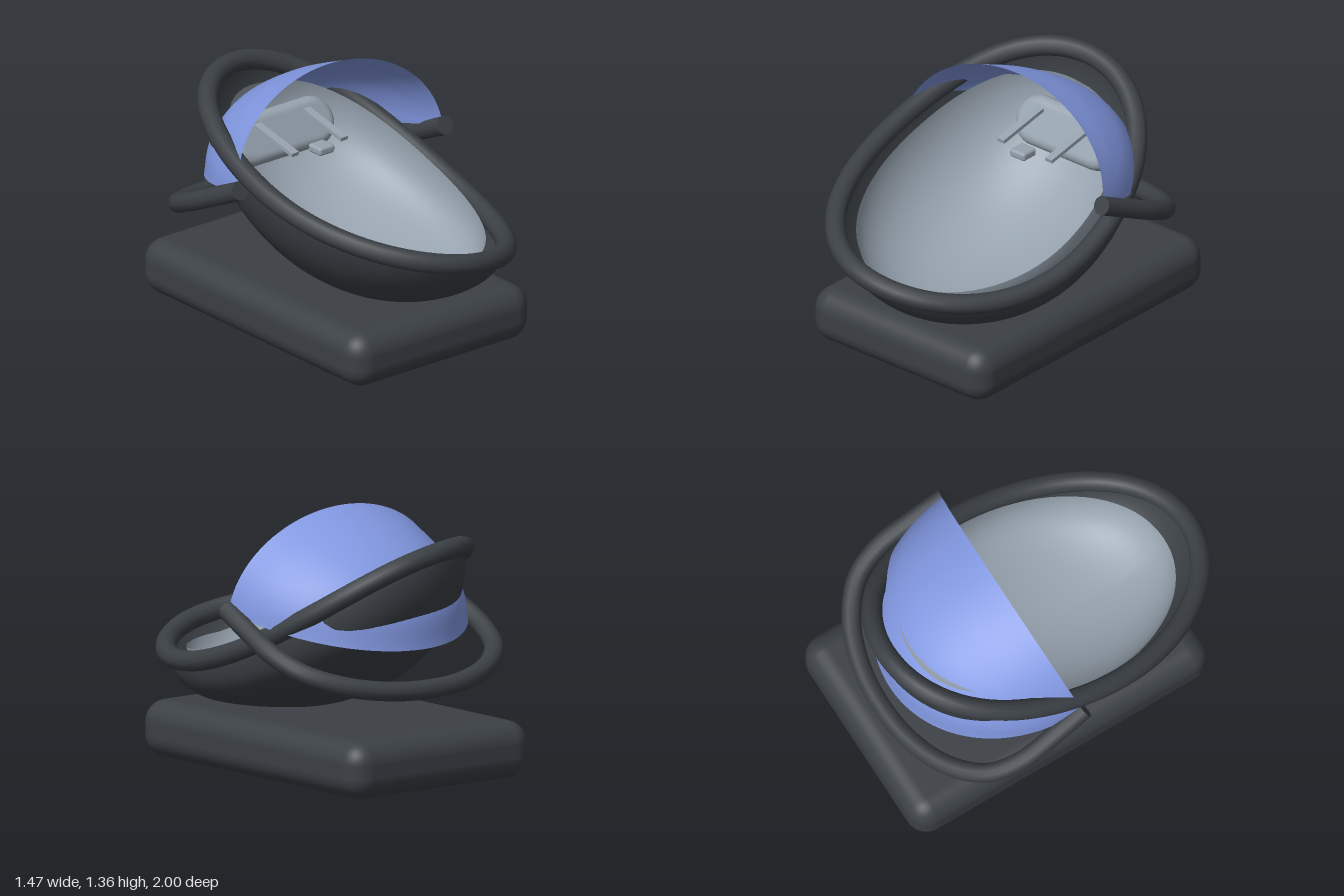
import * as THREE from 'three';
import { RoundedBoxGeometry } from 'three/addons/geometries/RoundedBoxGeometry.js';
import { ParametricGeometry } from 'three/addons/geometries/ParametricGeometry.js';

const V = (x, y, z) => new THREE.Vector3(x, y, z);

// Height of the rim: sweeps up toward the back and rolls to one side
const rimY = (x, z) => 0.78 - 0.328 * z + 0.18 * z * z - 0.19 * x - 0.08 * x * Math.abs(x);

// Point on the egg-shaped rim, fuller at the back; kx and kz scale it about its centre
function rimPoint(angle, kx = 1, kz = 1) {
  const s = Math.sin(angle);
  const x = 0.63 * kx * Math.cos(angle) * (1 + 0.12 * Math.min(s, 0) ** 2);
  const z = 0.065 + 0.885 * kz * s;
  return V(x, rimY(x, z), z);
}

// Bowl hanging from the rim, deepening at right angles to the tilted seat
const bowl = (kx, kz, depth, drop) => (u, v, target) => {
  const r = rimPoint(u * Math.PI * 2, kx, kz);
  const c = Math.cos(v * 0.9999 * Math.PI / 2), s = Math.sin(v * 0.9999 * Math.PI / 2);
  const slope = -0.3 * (r.z - 0.065);
  const y = 0.88 + c * slope + c ** 3 * (r.y - 0.88 - slope - drop(r)) - 0.957 * depth * s;
  target.set(r.x * c, y, 0.065 + (r.z - 0.065) * c - 0.29 * depth * s);
};

export function createModel() {
  const group = new THREE.Group();
  const mat = (name, color) => new THREE.MeshStandardMaterial({ name, color, side: THREE.DoubleSide });
  const dark = mat('charcoal', 0x3b4045);
  const grey = mat('grey lining', 0x97a3af);
  const blue = mat('blue fabric', 0x8197e0);
  const add = (name, geometry, material, x = 0, y = 0, z = 0) => {
    const mesh = new THREE.Mesh(geometry, material);
    mesh.name = name;
    mesh.position.set(x, y, z);
    group.add(mesh);
    return mesh;
  };

  // Base block
  add('base', new RoundedBoxGeometry(1.17, 0.295, 1.76, 6, 0.115), dark, 0, 0.1475, -0.12);

  // Outer shell and inner lining; the lining stands higher on the low side
  const liningDrop = ({ x, z }) => 0.03 + 0.05 * z - 0.15 * Math.max(x, 0);
  add('shell', new ParametricGeometry(bowl(1, 1, 0.58, () => 0), 72, 24), dark);
  add('lining', new ParametricGeometry(bowl(0.88, 0.845, 0.53, liningDrop), 72, 24), grey);

  // Padded rim
  const rimPath = [];
  for (let i = 0; i < 32; i++) rimPath.push(rimPoint(i / 32 * Math.PI * 2));
  add('rim', new THREE.TubeGeometry(new THREE.CatmullRomCurve3(rimPath, true), 96, 0.053, 12, true), dark);

  // Canopy: arches between two side pivots, swept from front to back
  const ridge = new THREE.CatmullRomCurve3([
    V(0, 1.355, -0.18), V(0, 1.235, -0.45), V(0, 1.085, -0.665), V(0, 0.9, -0.785), V(0, 0.7, -0.81),
  ]);
  const pivot = V(0, 0.87, -0.08);
  add('canopy', new ParametricGeometry((u, v, target) => {
    const a = (0.002 + 0.996 * u) * Math.PI;
    const e = 1 + 0.1 * Math.sin(v * Math.PI);
    target.copy(ridge.getPoint(v)).sub(pivot).multiplyScalar(Math.sin(a) ** e).add(pivot);
    target.x = 0.665 * Math.cos(a);
  }, 48, 24), blue);

  // Carry handle, folded back
  const half = [[0.67, -0.07], [0.68, -0.25], [0.68, -0.45], [0.62, -0.62], [0.45, -0.76], [0.22, -0.84]];
  const plan = [...half, [0, -0.86], ...half.map(([x, z]) => [-x, z]).reverse()];
  const handlePath = new THREE.CatmullRomCurve3(plan.map(([x, z]) => V(x, 0.875 + (z + 0.07) * 0.47, z)));
  add('handle', new THREE.TubeGeometry(handlePath, 72, 0.05, 12), dark);
  for (const t of [0, 1]) {
    const cap = add('handleEnd', new THREE.CircleGeometry(0.05, 12), dark);
    const p = handlePath.getPoint(t);
    cap.position.copy(p);
    cap.lookAt(p.clone().addScaledVector(handlePath.getTangent(t), t ? 1 : -1));
  }

  // Head pillow: a padded stadium leaning back
  const stadium = new THREE.Shape();
  stadium.absarc(0.2, 0, 0.08, -Math.PI / 2, Math.PI / 2);
  stadium.absarc(-0.2, 0, 0.08, Math.PI / 2, Math.PI * 1.5);
  const pillow = add('headPillow', new THREE.ExtrudeGeometry(stadium, {
    depth: 0.03, bevelThickness: 0.05, bevelSize: 0.05, bevelSegments: 8, curveSegments: 16,
  }), grey, 0.01, 0.84, -0.6);
  pillow.rotation.x = -0.5;

  // Harness straps and buckle
  for (const x of [-0.16, 0.16]) {
    const strap = add('strap', new THREE.BoxGeometry(0.045, 0.02, 0.31), grey, x, 0.91, -0.4);
    strap.rotation.x = 0.2;
  }
  add('buckle', new RoundedBoxGeometry(0.1, 0.045, 0.1, 3, 0.015), grey, 0, 0.877, -0.235);

  return group;
}
